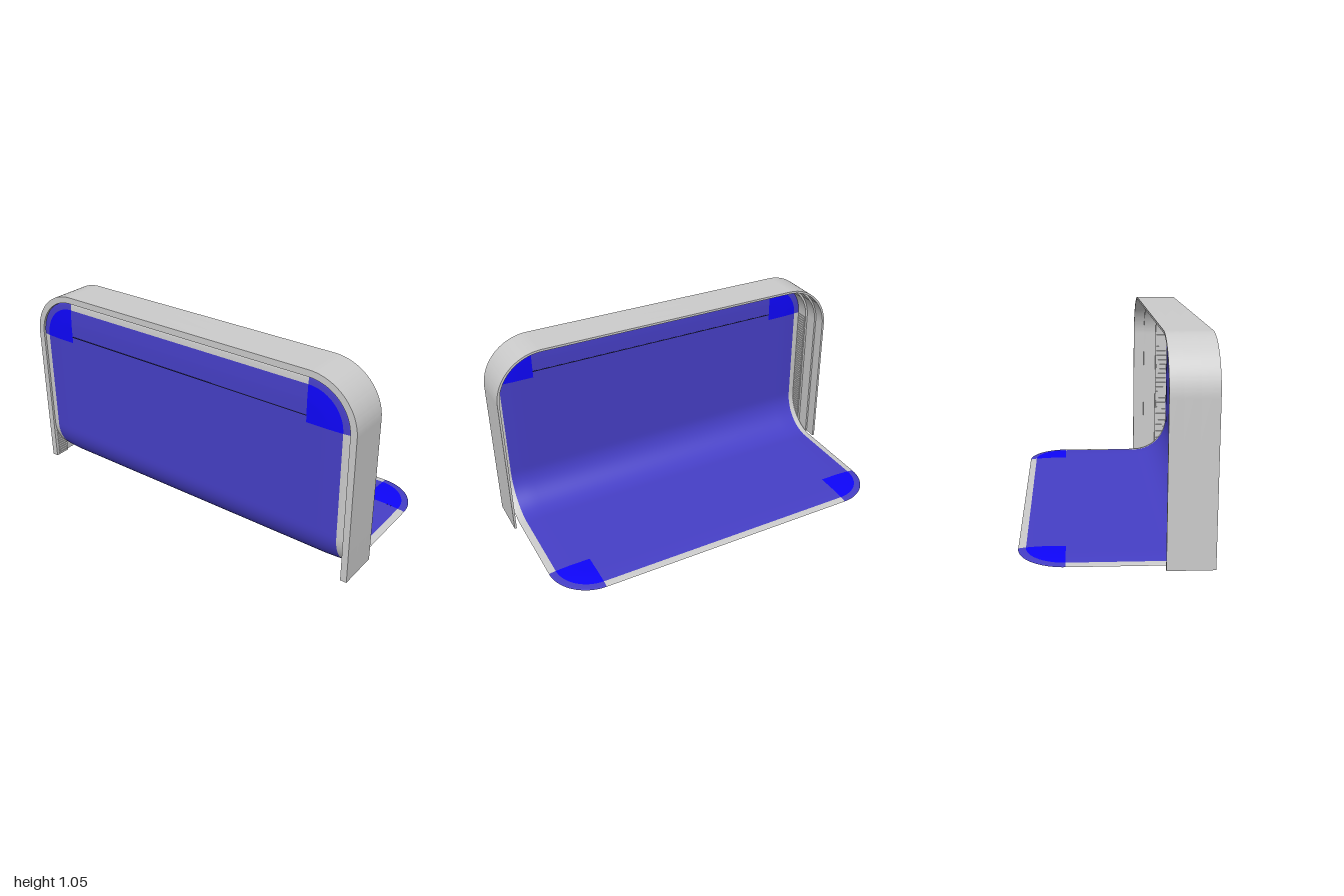
import * as THREE from 'three';
import { mergeGeometries, toCreasedNormals } from 'three/addons/utils/BufferGeometryUtils.js';

const grey = new THREE.MeshStandardMaterial({ color: 0xcccccc });
const paint = (color) => new THREE.MeshStandardMaterial({ color, side: THREE.DoubleSide });
const border = paint(0xcccccc), blue = paint(0x463fc6), bright = paint(0x0e05fa), dark = paint(0x101030);

// Corner centre shared by the frame arch and the sheet
const CZ = 0.74, CY = 0.787;
// Sheet: flat run, quarter bend, upright run
const EDGE = 0.225, RIM = 0.037, FLAT = 0.674, BEND = 0.215, FLOOR = 0.012;
const ARC = BEND * Math.PI / 2;
const LEN = FLAT + ARC + (CY + EDGE - FLOOR - BEND);

// Folds a point s along the sheet, lifted n off its middle, into x and y
function fold(s, n) {
  const t = THREE.MathUtils.clamp((s - FLAT) / BEND, 0, Math.PI / 2);
  const x = 0.45 - Math.min(s, FLAT) - (BEND - n) * Math.sin(t);
  const y = FLOOR + BEND - (BEND - n) * Math.cos(t) + Math.max(0, s - FLAT - ARC);
  return [x, y];
}

// Half thickness, thinning to nothing at the rounded outline
function halfThickness(s, z) {
  const qs = Math.abs(s - LEN / 2) - (LEN / 2 - EDGE), qz = Math.abs(z) - CZ;
  const inside = EDGE - Math.hypot(Math.max(qs, 0), Math.max(qz, 0)) - Math.min(Math.max(qs, qz), 0);
  return 0.011 * Math.sqrt(THREE.MathUtils.clamp(inside / 0.12, 0, 1));
}

// Upper and lower skins over a grid; at(u, v) gives [s, z]
function patch(name, material, nu, nv, at) {
  const pos = [], index = [];
  for (const side of [1, -1]) {
    const base = pos.length / 3;
    for (let i = 0; i <= nu; i++) for (let j = 0; j <= nv; j++) {
      const [s, z] = at(i / nu, j / nv);
      const [x, y] = fold(s, side * halfThickness(s, z));
      pos.push(x, y, z);
      if (i === nu || j === nv) continue;
      const a = base + i * (nv + 1) + j, b = a + nv + 1;
      index.push(a, a + 1, b, b, a + 1, b + 1);
    }
  }
  const g = new THREE.BufferGeometry();
  g.setAttribute('position', new THREE.Float32BufferAttribute(pos, 3));
  g.setIndex(index);
  g.computeVertexNormals();
  const mesh = new THREE.Mesh(g, material);
  mesh.name = name;
  return mesh;
}

const rect = (s0, s1, z0, z1) => (u, v) => [s0 + (s1 - s0) * u, z0 + (z1 - z0) * v];

// One layer of the arch, with wall thickness t, from x0 to x1
function archLayer(x0, x1, t) {
  const r = 0.26, ri = r - t;
  const sh = new THREE.Shape();
  sh.moveTo(CZ + r, 0);
  sh.lineTo(CZ + r, CY);
  sh.absarc(CZ, CY, r, 0, Math.PI / 2, false);
  sh.absarc(-CZ, CY, r, Math.PI / 2, Math.PI, false);
  sh.lineTo(-CZ - r, 0);
  sh.lineTo(-CZ - ri, 0);
  sh.lineTo(-CZ - ri, CY);
  sh.absarc(-CZ, CY, ri, Math.PI, Math.PI / 2, true);
  sh.absarc(CZ, CY, ri, Math.PI / 2, 0, true);
  sh.lineTo(CZ + ri, 0);
  const g = new THREE.ExtrudeGeometry(sh, { depth: x1 - x0, bevelEnabled: false, curveSegments: 24 });
  const mesh = new THREE.Mesh(toCreasedNormals(g.rotateY(Math.PI / 2).translate(x0, 0, 0), 0.5), grey);
  mesh.name = 'archLayer';
  return mesh;
}

export function createModel() {
  const model = new THREE.Group();

  // Arch frame, stepping inward towards the back
  const frame = new THREE.Group();
  frame.name = 'archFrame';
  frame.add(archLayer(-0.29, -0.225, 0.012), archLayer(-0.365, -0.29, 0.022), archLayer(-0.45, -0.365, 0.034));

  // Fine ribs on the inner side walls
  for (const side of [1, -1]) {
    const bars = [];
    for (let y = 0.012; y < CY; y += 0.015) {
      bars.push(new THREE.BoxGeometry(0.062, 0.007, 0.006).translate(-0.402, y, side * 0.9645));
    }
    const ribs = new THREE.Mesh(mergeGeometries(bars), grey);
    ribs.name = 'wallRibs';
    frame.add(ribs);
  }

  // Curved sheet: blue panels, grey rims and rounded corners
  const sheet = new THREE.Group();
  sheet.name = 'curvedSheet';
  const inner = CZ + EDGE - RIM, outer = CZ + EDGE;
  sheet.add(patch('mainPanel', blue, 64, 64, rect(EDGE, LEN - EDGE, -inner, inner)));
  for (const side of [1, -1]) {
    sheet.add(patch('sideRim', border, 64, 6, rect(EDGE, LEN - EDGE, side * inner, side * outer)));
  }
  for (const end of [0, 1]) {
    const along = (d) => (end ? LEN - d : d);
    sheet.add(patch('endPanel', blue, 12, 8, rect(along(RIM), along(EDGE), -CZ, CZ)));
    sheet.add(patch('endRim', border, 6, 8, rect(along(0), along(RIM), -CZ, CZ)));
    for (const side of [1, -1]) {
      const sector = (r0, r1) => (u, v) => {
        const r = r0 + (r1 - r0) * u, a = v * Math.PI / 2;
        return [along(EDGE - r * Math.cos(a)), side * (CZ + r * Math.sin(a))];
      };
      sheet.add(patch('cornerPanel', bright, 12, 20, sector(0, EDGE - RIM)));
      sheet.add(patch('cornerRim', blue, 6, 20, sector(EDGE - RIM, EDGE)));
    }
  }

  // Thin seam across the upright part, between the corner panels
  const seam = new THREE.Mesh(new THREE.BoxGeometry(0.0235, 0.005, 2 * CZ), dark);
  seam.name = 'seam';
  seam.position.set(0.45 - FLAT - BEND, 0.822, 0);
  sheet.add(seam);

  model.add(frame, sheet);
  return model;
}
